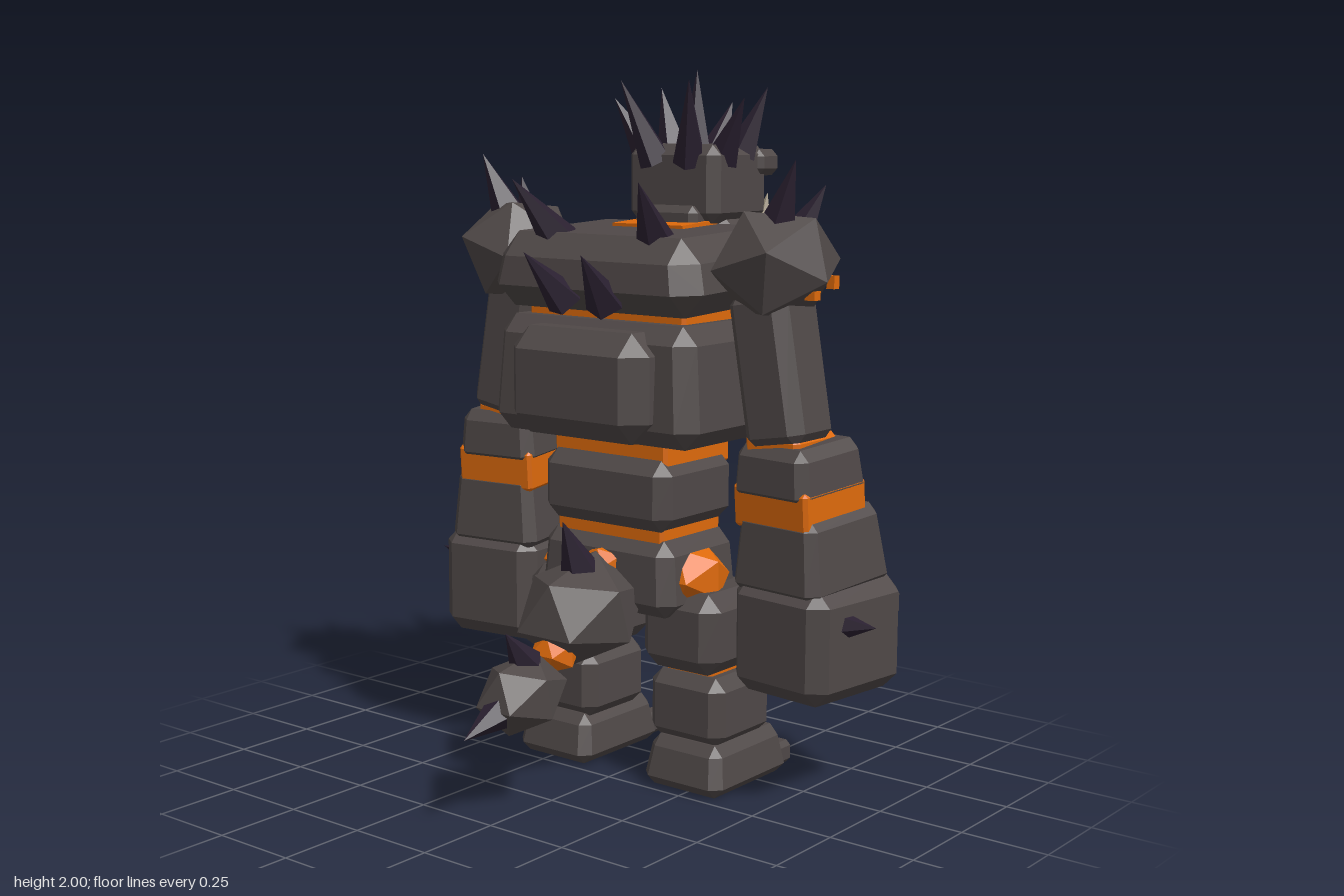
import * as THREE from 'three';
import { ConvexGeometry } from 'three/addons/geometries/ConvexGeometry.js';

const mat = (name, color) => {
  const m = new THREE.MeshStandardMaterial({ color });
  m.name = name;
  return m;
};

export function createModel() {
  const rock = mat('rock', 0x4f4847);
  const lava = mat('lava orange', 0xde6a0c);
  const horn = mat('dark horn', 0x2b2131);
  const bone = mat('bone', 0xa09580);
  const glow = mat('eye yellow', 0xd8cc58);

  const root = new THREE.Group();
  root.name = 'rockGiant';

  const add = (name, geo, m, x, y, z) => {
    const mesh = new THREE.Mesh(geo, m);
    mesh.name = name;
    mesh.position.set(x, y, z);
    root.add(mesh);
    return mesh;
  };

  // Block with bevelled edges given by its min/max on each axis; top is scaled by "taper"
  const block = (name, m, [x0, x1], [y0, y1], [z0, z1], b = 0.035, taper = 1) => {
    const h = [Math.abs(x1 - x0) / 2, Math.abs(y1 - y0) / 2, Math.abs(z1 - z0) / 2];
    const pts = [];
    for (const i of [-1, 1]) for (const j of [-1, 1]) for (const k of [-1, 1]) {
      const t = j > 0 ? taper : 1;
      for (let a = 0; a < 3; a++) {
        const e = h.map((v, n) => (n === a ? v : v - b));
        pts.push(new THREE.Vector3(i * e[0] * t, j * e[1], k * e[2] * t));
      }
    }
    return add(name, new ConvexGeometry(pts), m, (x0 + x1) / 2, (y0 + y1) / 2, (z0 + z1) / 2);
  };

  const bar = (name, m, w, h, d, x, y, z) => add(name, new THREE.BoxGeometry(w, h, d), m, x, y, z);

  // Faceted boulder
  const boulder = (name, m, rx, ry, rz, x, y, z) => {
    const geo = new THREE.IcosahedronGeometry(1, 0).scale(rx, ry, rz);
    geo.computeVertexNormals();
    return add(name, geo, m, x, y, z);
  };

  // Five-sided spike from base to tip
  const spike = (name, base, tip, r = 0.05, m = horn) => {
    const a = new THREE.Vector3(...base), dir = new THREE.Vector3(...tip).sub(a);
    const len = dir.length();
    const geo = new THREE.ConeGeometry(r, len, 5).translate(0, len / 2, 0).toNonIndexed();
    geo.computeVertexNormals();
    const mesh = add(name, geo, m, ...base);
    mesh.quaternion.setFromUnitVectors(new THREE.Vector3(0, 1, 0), dir.normalize());
    return mesh;
  };

  // Torso, from pelvis to collar
  block('pelvis', rock, [-0.04, 0.31], [0.5, 0.715], [-0.24, 0.24], 0.04, 0.95);
  block('lowerWaist', lava, [0.0, 0.27], [0.66, 0.78], [-0.19, 0.19], 0.01);
  block('abdomen', rock, [-0.04, 0.3], [0.74, 0.94], [-0.225, 0.225], 0.04);
  block('bellyPlate', rock, [0.22, 0.33], [0.76, 0.91], [-0.125, 0.125], 0.025);
  block('upperWaist', lava, [0.0, 0.3], [0.9, 1.03], [-0.2, 0.2], 0.01);
  block('chest', rock, [-0.11, 0.34], [0.99, 1.32], [-0.36, 0.36], 0.05, 0.95);
  block('backPlate', rock, [-0.185, 0.0], [1.0, 1.3], [-0.24, 0.24], 0.06);
  block('neckSeam', lava, [-0.02, 0.34], [1.27, 1.4], [-0.275, 0.275], 0.01);
  bar('sternumSeam', lava, 0.06, 0.14, 0.03, 0.375, 1.065, 0);
  const core = bar('chestCore', lava, 0.08, 0.175, 0.175, 0.41, 1.19, 0);
  core.rotation.x = Math.PI / 4;
  const collar = block('collar', rock, [-0.12, 0.425], [1.35, 1.56], [-0.365, 0.365], 0.065, 0.95);
  collar.rotation.z = 0.04;
  const napePlate = bar('napePlate', lava, 0.24, 0.03, 0.25, 0.29, 1.562, 0);
  napePlate.rotation.z = 0.06;
  const collarSeam = bar('collarSeam', lava, 0.03, 0.025, 0.5, 0.405, 1.505, 0);
  collarSeam.rotation.z = 0.6;

  // Head
  block('neck', rock, [0.24, 0.42], [1.46, 1.62], [-0.11, 0.11], 0.02);
  block('skull', rock, [0.27, 0.54], [1.57, 1.79], [-0.16, 0.16], 0.03);
  block('brow', rock, [0.47, 0.575], [1.7, 1.775], [-0.175, 0.175], 0.02);
  block('jaw', rock, [0.33, 0.59], [1.48, 1.59], [-0.155, 0.155], 0.025);
  bar('mouth', horn, 0.008, 0.055, 0.22, 0.543, 1.615, 0);
  bar('browGem', lava, 0.02, 0.016, 0.02, 0.562, 1.764, 0);
  for (const z of [-0.045, 0.045]) spike('upperTooth', [0.553, 1.635, z], [0.555, 1.595, z], 0.012, bone);
  spike('crownSpike', [0.4, 1.76, 0], [0.4, 2.0, 0], 0.05);
  spike('crownSpike', [0.49, 1.76, 0], [0.575, 1.91, 0]);

  // Tail
  boulder('tailBase', rock, 0.2, 0.15, 0.18, -0.12, 0.52, 0).rotation.z = 0.3;
  boulder('tailRoot', lava, 0.06, 0.05, 0.07, -0.02, 0.635, 0);
  boulder('tailJoint', lava, 0.065, 0.06, 0.075, -0.235, 0.42, 0);
  boulder('tailEnd', rock, 0.14, 0.11, 0.115, -0.37, 0.335, 0).rotation.z = 0.2;
  spike('tailSpike', [-0.12, 0.62, 0], [-0.2, 0.78, 0], 0.06);
  spike('tailSpike', [-0.35, 0.41, 0], [-0.435, 0.515, 0], 0.05);
  spike('tailTip', [-0.44, 0.31, 0], [-0.6, 0.26, 0], 0.055);

  // Everything that is mirrored across z
  for (const s of [1, -1]) {
    const zr = (a, b) => [s * a, s * b];

    // Chest and face details
    block('pectoral', rock, [0.2, 0.425], [0.98, 1.31], zr(0.012, 0.368), 0.055, 0.94);
    const slash = bar('chestSlash', lava, 0.025, 0.19, 0.022, 0.424, 1.125, s * 0.2);
    slash.rotation.x = -s * 0.46;
    const eye = bar('eye', glow, 0.009, 0.046, 0.085, 0.55, 1.667, s * 0.08);
    eye.rotation.x = -s * 0.15;
    spike('tusk', [0.56, 1.57, s * 0.125], [0.565, 1.65, s * 0.135], 0.025, bone);

    // Crown and back spikes
    spike('crownSpike', [0.29, 1.74, s * 0.06], [0.2, 1.97, s * 0.12]);
    spike('crownSpike', [0.35, 1.75, s * 0.13], [0.31, 1.92, s * 0.23]);
    spike('crownSpike', [0.45, 1.76, s * 0.12], [0.48, 1.95, s * 0.19]);
    spike('backSpike', [0.0, 1.52, s * 0.17], [-0.15, 1.7, s * 0.22], 0.06);
    spike('backSpike', [-0.1, 1.37, s * 0.07], [-0.24, 1.51, s * 0.1], 0.055);

    // Shoulder
    const shoulder = boulder('shoulder', rock, 0.2, 0.165, 0.175, 0.15, 1.48, s * 0.452);
    shoulder.rotation.set(-s * 0.3, 0, -0.1);
    spike('shoulderSpike', [0.125, 1.57, s * 0.47], [0.09, 1.76, s * 0.55], 0.058);
    spike('shoulderSpike', [0.21, 1.54, s * 0.47], [0.25, 1.69, s * 0.54], 0.052);
    bar('shoulderGem', lava, 0.025, 0.035, 0.025, 0.275, 1.43, s * 0.55);
    bar('shoulderGem', lava, 0.03, 0.025, 0.03, 0.14, 1.405, s * 0.575);

    // Arm, turned slightly outward below the elbow
    const upperArm = block('upperArm', rock, [0.06, 0.255], [0.99, 1.42], zr(0.37, 0.56), 0.035);
    upperArm.rotation.x = -s * 0.17;
    block('elbow', lava, [0.08, 0.28], [0.96, 1.03], zr(0.4, 0.575), 0.015);
    const forearm = block('forearm', rock, [0.05, 0.33], [0.855, 1.01], zr(0.375, 0.64), 0.03, 0.93);
    const band = block('forearmBand', lava, [0.065, 0.32], [0.78, 0.9], zr(0.38, 0.64), 0.01);
    const bracer = block('bracer', rock, [0.05, 0.39], [0.6, 0.828], zr(0.375, 0.68), 0.03, 0.88);
    for (const p of [forearm, band, bracer]) p.rotation.set(0, -s * 0.12, 0.07);

    // Hand
    const hand = block('hand', rock, [0.045, 0.425], [0.315, 0.635], zr(0.38, 0.71), 0.045);
    hand.rotation.y = -s * 0.12;
    for (let i = 0; i < 4; i++) {
      block('knuckle', rock, [0.39, 0.465], [0.495, 0.575], zr(0.405 + i * 0.07, 0.465 + i * 0.07), 0.015);
    }
    for (const z of [0.47, 0.62]) spike('knuckleClaw', [0.44, 0.55, s * z], [0.525, 0.55, s * z], 0.025, bone);
    bar('handSeam', lava, 0.05, 0.025, 0.24, 0.425, 0.438, s * 0.547);
    spike('handSpike', [0.15, 0.53, s * 0.67], [0.15, 0.54, s * 0.785], 0.042);

    // Leg
    boulder('hipJoint', lava, 0.12, 0.1, 0.11, 0.12, 0.6, s * 0.2);
    block('thigh', rock, [0.02, 0.33], [0.34, 0.57], zr(0.08, 0.345), 0.045);
    block('knee', lava, [0.08, 0.27], [0.3, 0.37], zr(0.14, 0.3), 0.01);
    block('shin', rock, [0.04, 0.31], [0.135, 0.333], zr(0.1, 0.355), 0.035);
    block('foot', rock, [0.015, 0.375], [0, 0.145], zr(0.1, 0.37), 0.03, 0.9);
    for (let i = 0; i < 3; i++) {
      block('toe', rock, [0.35, 0.44], [0.003, 0.07], zr(0.13 + i * 0.073, 0.19 + i * 0.073), 0.014);
    }
  }
  return root;
}
